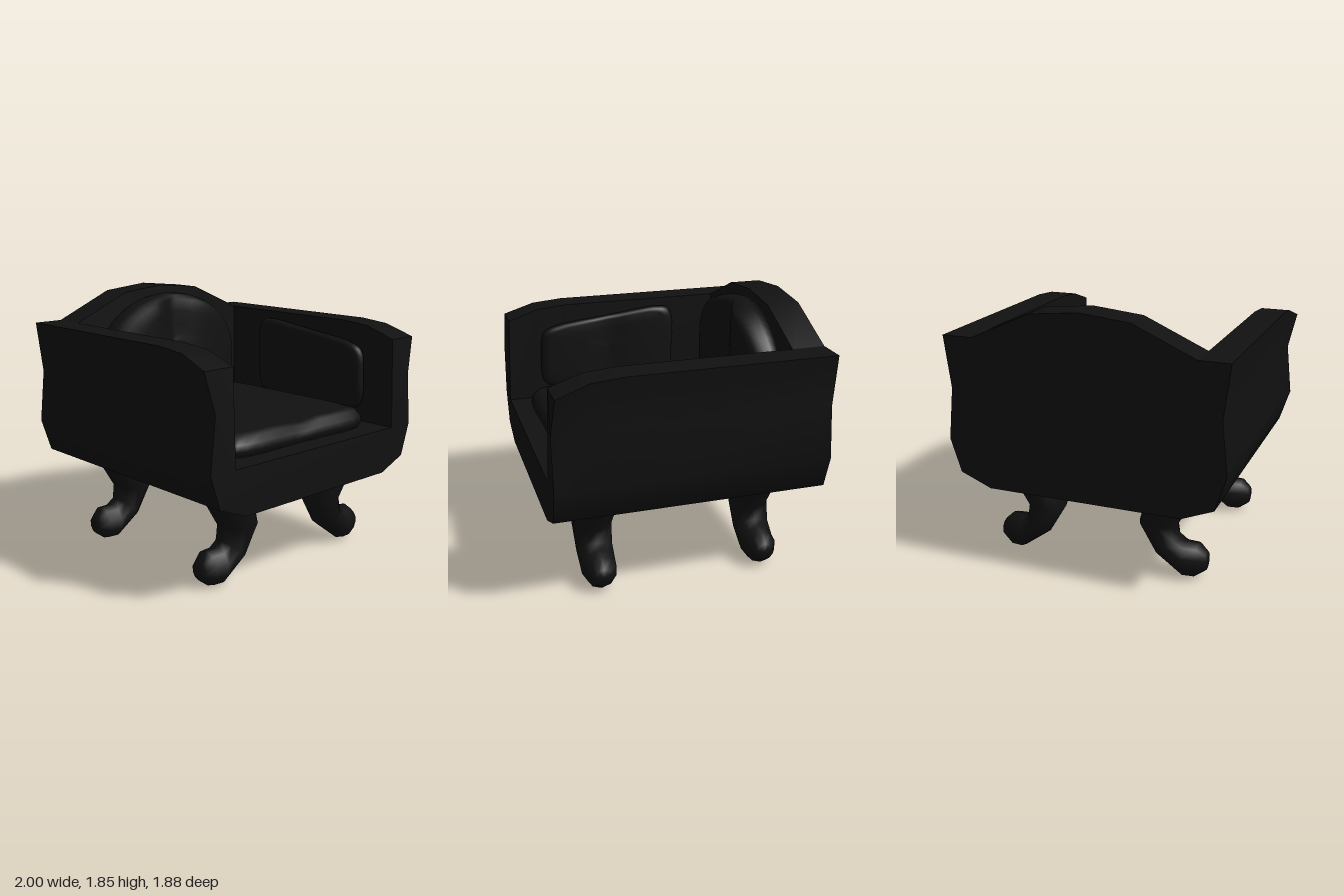
import * as THREE from 'three';
import { toCreasedNormals } from 'three/addons/utils/BufferGeometryUtils.js';

const material = new THREE.MeshStandardMaterial({ color: 0x111111 });
const V3 = (x, y, z) => new THREE.Vector3(x, y, z);

// Skin a stack of closed rings; flip reverses the faces for mirrored parts
function loft(rings, flip) {
  const n = rings[0].length, index = [];
  for (let r = 0; r < rings.length - 1; r++) {
    for (let i = 0; i < n; i++) {
      const a = r * n + i, b = r * n + (i + 1) % n, c = b + n, d = a + n;
      index.push(...(flip ? [a, c, b, a, d, c] : [a, b, c, a, c, d]));
    }
  }
  const g = new THREE.BufferGeometry().setFromPoints(rings.flat());
  g.setIndex(index);
  g.computeVertexNormals();
  return g;
}

function add(parent, name, geometry) {
  const m = new THREE.Mesh(geometry, material);
  m.name = name;
  parent.add(m);
  return m;
}

// Pillow from an outline: place(u, v, h) maps it into the chair, h running 0 to 1
function pillow(outline, place, flip = false) {
  const curve = new THREE.CatmullRomCurve3(outline.map(([u, v]) => V3(u, v, 0)), true);
  const pts = curve.getPoints(48).slice(0, -1);
  const c = new THREE.Box3().setFromPoints(pts).getCenter(V3());
  const profile = [[0, 0], [0.97, 0], [1, 0.3], [0.99, 0.6], [0.95, 0.88], [0.88, 0.98], [0.65, 1], [0.4, 1], [0.2, 1], [0, 1]];
  return loft(profile.map(([s, h]) => pts.map((p) =>
    place(c.x + (p.x - c.x) * s, c.y + (p.y - c.y) * s, h))), flip);
}

// Shallow dip between two padded lobes
const dip = (t, width, depth) => 1 - depth * Math.exp(-((t / width) ** 2));

function shapeOf(half) {
  const mirrored = half.filter(([x]) => x > 0).reverse().map(([x, y]) => [-x, y]);
  return new THREE.Shape([...half, ...mirrored].map(([x, y]) => new THREE.Vector2(x, y)));
}

// Base and arms: one U-shaped section, arms sloping and flaring at the front
function bodyGeometry() {
  const g = new THREE.ExtrudeGeometry(shapeOf([
    [0.68, 0.58], [0.9, 0.67], [0.975, 0.905], [0.935, 1.27], [0.98, 1.63], [0.77, 1.63], [0.77, 0.9],
  ]), { depth: 3, steps: 3, bevelEnabled: false });
  const stationZ = [-0.94, 0.48, 0.7, 0.945], topY = [1.63, 1.63, 1.61, 1.535];
  const p = g.attributes.position;
  for (let i = 0; i < p.count; i++) {
    const k = Math.round(p.getZ(i));
    const top = p.getY(i) > 1.6;
    p.setZ(i, top && k === 3 ? 0.92 : stationZ[k]);
    if (top) p.setY(i, topY[k]);
    if (k === 3 && top && Math.abs(p.getX(i)) > 0.9) p.setX(i, Math.sign(p.getX(i)));
  }
  return toCreasedNormals(g, 0.9);
}

// Curled leg: each section runs from an inner to an outer point, with a half width in z
function legGeometry(side, z) {
  const sections = [
    [0.34, 0.58, 0.68, 0.58, 0.17], [0.28, 0.37, 0.555, 0.37, 0.14], [0.41, 0.15, 0.56, 0.28, 0.13],
    [0.61, 0.003, 0.605, 0.25, 0.125], [0.69, 0.003, 0.70, 0.25, 0.11], [0.765, 0.06, 0.765, 0.19, 0.065],
    [0.765, 0.125, 0.765, 0.125, 0],
  ];
  const rings = sections.map(([px, py, qx, qy, w]) => Array.from({ length: 10 }, (_, i) => {
    const a = i / 10 * Math.PI * 2, t = (1 + Math.cos(a)) / 2;
    return V3(side * (px + (qx - px) * t), py + (qy - py) * t, z + w * Math.sin(a));
  }));
  return loft(rings, side < 0);
}

export function createModel() {
  const chair = new THREE.Group();
  chair.name = 'armchair';

  add(chair, 'baseAndArms', bodyGeometry());

  // Arched backrest between the arms
  const back = new THREE.ExtrudeGeometry(shapeOf([
    [0.77, 0.9], [0.77, 1.63], [0.345, 1.82], [0, 1.855],
  ]), { depth: 0.23, bevelEnabled: false });
  back.translate(0, 0, -0.94);
  add(chair, 'backrest', toCreasedNormals(back, 0.6));

  // Seat cushion
  add(chair, 'seatCushion', pillow([
    [-0.66, -0.72], [-0.6, -0.8], [0, -0.81], [0.6, -0.8], [0.66, -0.72], [0.67, 0],
    [0.64, 0.6], [0.58, 0.66], [-0.58, 0.66], [-0.64, 0.6], [-0.67, 0],
  ], (u, v, h) => V3(u, 0.9 + 0.15 * h * dip(u, 0.1, 0.15), -v)));

  // Arched back cushion with two lobes
  add(chair, 'backCushion', pillow([
    [-0.6, 1.085], [0, 1.08], [0.6, 1.085], [0.645, 1.15], [0.655, 1.35], [0.6, 1.48], [0.45, 1.65],
    [0.25, 1.76], [0, 1.8], [-0.25, 1.76], [-0.45, 1.65], [-0.6, 1.48], [-0.655, 1.35], [-0.645, 1.15],
  ], (u, v, h) => V3(u, v, -0.71 + 0.21 * h * dip(u, 0.12, 0.35) * (1 - 0.35 * (u / 0.65) ** 4))));

  for (const side of [1, -1]) {
    const label = side > 0 ? 'left' : 'right';
    // Padded panel on the inside of the arm
    add(chair, label + 'ArmPanel', pillow([
      [-0.34, 1.03], [-0.28, 1.0], [0.15, 1.0], [0.62, 1.0], [0.68, 1.05], [0.69, 1.25],
      [0.67, 1.42], [0.6, 1.47], [0.15, 1.53], [-0.3, 1.57], [-0.36, 1.52], [-0.37, 1.25],
    ], (u, v, h) => V3(side * (0.77 - 0.075 * h * dip(u - 0.15, 0.12, 0.35)), v, u), side < 0));
    for (const [end, z] of [['Front', 0.59], ['Back', -0.59]]) {
      add(chair, label + end + 'Leg', legGeometry(side, z));
    }
  }
  return chair;
}
